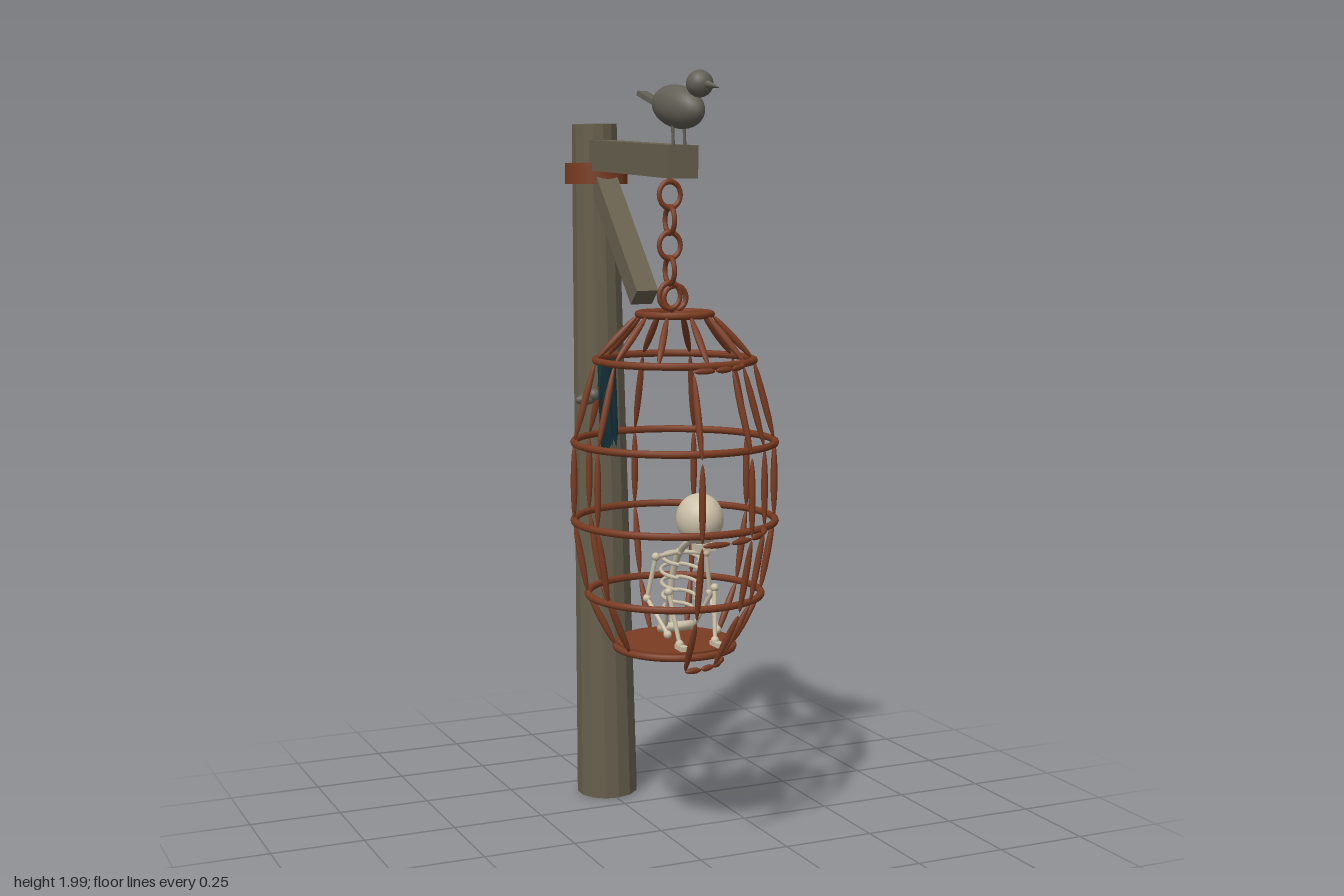
import * as THREE from 'three';

const mat = (name, color, extra = {}) => {
  const m = new THREE.MeshStandardMaterial({ color, ...extra });
  m.name = name;
  return m;
};
const V = (x, y, z) => new THREE.Vector3(x, y, z);
const UP = V(0, 1, 0);

export function createModel() {
  const wood = mat('weathered wood', 0x69614f, { flatShading: true });
  const rust = mat('rusty iron', 0x7a3c22);
  const strap = mat('rusty strap', 0x7a3c22, { side: THREE.DoubleSide });
  const cloth = mat('dark teal cloth', 0x1b3c47, { side: THREE.DoubleSide });
  const bone = mat('bone', 0xcbc0a8);
  const feather = mat('grey feathers', 0x625f55);

  const model = new THREE.Group();
  model.name = 'hangingCage';
  const group = (name, parent = model) => {
    const g = new THREE.Group();
    g.name = name;
    parent.add(g);
    return g;
  };
  const add = (parent, name, geo, material, pos = V(0, 0, 0)) => {
    const m = new THREE.Mesh(geo, material);
    m.name = name;
    m.position.copy(pos);
    parent.add(m);
    return m;
  };
  // Stretch a y-aligned geometry builder between two points
  const between = (parent, name, a, b, make, material) => {
    const d = b.clone().sub(a);
    const m = add(parent, name, make(d.length()), material, a.clone().add(b).multiplyScalar(0.5));
    m.quaternion.setFromUnitVectors(UP, d.normalize());
    return m;
  };
  const rod = (r0, r1, sides) => (len) => new THREE.CylinderGeometry(r1, r0, len, sides);
  const spindle = (r) => (len) => new THREE.SphereGeometry(1, 8, 8).scale(r, len * 0.48, r);
  const box = (w, d) => (len) => new THREE.BoxGeometry(w, len, d);

  // Leaning gallows post, arm and brace
  const gallows = group('gallows');
  between(gallows, 'post', V(0.005, 0.012, -0.39), V(-0.056, 1.89, -0.315), rod(0.086, 0.061, 14), wood);
  between(gallows, 'arm', V(-0.05, 1.782, 0.245), V(-0.05, 1.808, -0.31), box(0.08, 0.08), wood);
  between(gallows, 'brace', V(-0.045, 1.44, -0.005), V(-0.05, 1.75, -0.28), box(0.06, 0.055), wood);
  add(gallows, 'ironBand', new THREE.CylinderGeometry(0.085, 0.085, 0.056, 28, 1, true), strap, V(-0.048, 1.758, -0.322));

  // Chain of alternating links
  const chain = group('chain');
  for (let i = 0; i < 5; i++) {
    const link = add(chain, 'chainLink', new THREE.TorusGeometry(0.029, 0.0065, 8, 18), rust, V(-0.048, 1.703 - i * 0.0625, 0.16));
    link.scale.y = 1.12;
    if (i % 2) link.rotation.y = Math.PI / 2;
  }

  // Cage: hoops, floor, top loop and spindle bars
  const cage = group('cage');
  cage.position.set(0, 0, 0.085);
  const hoops = [[0.54, 0.153], [0.68, 0.225], [0.872, 0.26], [1.075, 0.259], [1.285, 0.203], [1.402, 0.093]];
  for (const [y, r] of hoops) {
    add(cage, 'hoop', new THREE.TorusGeometry(r, 0.0095, 8, 48).rotateX(Math.PI / 2), rust, V(0, y, 0));
  }
  add(cage, 'floor', new THREE.CylinderGeometry(0.152, 0.152, 0.022, 32), rust, V(0, 0.543, 0));
  add(cage, 'topLoop', new THREE.TorusGeometry(0.031, 0.0075, 8, 20), rust, V(0, 1.443, 0));
  add(cage, 'topCrossbar', new THREE.CylinderGeometry(0.006, 0.006, 0.18, 8).rotateX(Math.PI / 2), rust, V(0, 1.405, 0));
  const onHoop = (i, deg) => {
    const a = THREE.MathUtils.degToRad(deg);
    return V(hoops[i][1] * Math.cos(a), hoops[i][0], -hoops[i][1] * Math.sin(a));
  };
  for (let k = 0; k < 10; k++) {
    const deg = 90 + 36 * k;
    const doorway = deg > 230 && deg < 310;
    for (let i = doorway ? 4 : 0; i < 5; i++) {
      between(cage, 'bar', onHoop(i, deg), onHoop(i + 1, deg), spindle(0.0095), rust);
    }
  }

  // Door swung open on its hinge
  const hinge = onHoop(2, 306).setY(0);
  const door = group('door', cage);
  door.position.copy(hinge);
  door.rotation.y = THREE.MathUtils.degToRad(34);
  const doorPoint = (i, deg) => onHoop(i, deg).sub(hinge);
  for (const deg of [306, 270, 234]) {
    for (let i = 0; i < 4; i++) {
      between(door, 'doorBar', doorPoint(i, deg), doorPoint(i + 1, deg), spindle(0.009), rust);
    }
  }
  for (const i of [0, 2, 4]) {
    for (let s = 0; s < 4; s++) {
      between(door, 'doorRail', doorPoint(i, 306 - 18 * s), doorPoint(i, 288 - 18 * s), spindle(0.008), rust);
    }
  }

  // Torn cloth with rippled surface and ragged hem
  const sheet = new THREE.PlaneGeometry(1, 1, 16, 6);
  const p = sheet.attributes.position;
  for (let i = 0; i < p.count; i++) {
    const u = p.getX(i) + 0.5, v = 0.5 - p.getY(i);
    const hem = 0.2 + 0.018 * Math.sin(u * 19) + 0.014 * Math.sin(u * 43 + 1);
    const wave = 0.012 * Math.sin(u * 11 + v * 2);
    const sag = 0.012 * Math.sin(u * Math.PI);
    p.setXYZ(i, -0.225 + 0.14 * u - wave + 0.012 * v, 1.285 - sag - v * hem, 0.14 - 0.28 * u - wave * 0.5);
  }
  sheet.computeVertexNormals();
  add(model, 'tornCloth', sheet, cloth);

  // Skeleton slumped on the cage floor
  const skeleton = group('skeleton');
  const limb = (name, ...pts) => {
    for (let i = 0; i < pts.length; i++) {
      add(skeleton, name + 'Joint', new THREE.SphereGeometry(0.011, 10, 8), bone, pts[i]);
      if (i) between(skeleton, name, pts[i - 1], pts[i], rod(0.006, 0.006, 8), bone);
    }
  };
  add(skeleton, 'skull', new THREE.SphereGeometry(1, 24, 18).scale(0.06, 0.066, 0.066), bone, V(0.02, 0.888, 0.195));
  add(skeleton, 'jaw', new THREE.BoxGeometry(0.05, 0.018, 0.04), bone, V(0.022, 0.82, 0.215));
  const spine = new THREE.CatmullRomCurve3([V(0.01, 0.57, 0.06), V(0.01, 0.68, 0.04), V(0.015, 0.78, 0.08), V(0.02, 0.84, 0.17)]);
  add(skeleton, 'spine', new THREE.TubeGeometry(spine, 20, 0.009, 8), bone);
  for (let i = 0; i < 5; i++) {
    const rib = add(skeleton, 'rib', new THREE.TorusGeometry(0.052 - Math.abs(i - 3) * 0.004, 0.005, 6, 20, 5.2), bone, V(0.012, 0.635 + i * 0.034, 0.085 + i * 0.004));
    rib.rotation.set(Math.PI / 2 + 0.2, 0, Math.PI / 2 + 0.54);
  }
  add(skeleton, 'pelvis', new THREE.TorusGeometry(0.04, 0.012, 8, 18).rotateX(1.3), bone, V(0.01, 0.585, 0.075));
  for (const s of [-1, 1]) {
    const x = (d) => 0.012 + s * d;
    limb('collarbone', V(0.014, 0.785, 0.085), V(x(0.072), 0.78, 0.1));
    limb('arm', V(x(0.072), 0.78, 0.1), V(x(0.09), 0.67, 0.085), V(x(0.07), 0.59, 0.17));
    limb('leg', V(x(0.04), 0.585, 0.09), V(x(0.065), 0.7, 0.165), V(x(0.05), 0.57, 0.2));
    add(skeleton, 'foot', new THREE.BoxGeometry(0.02, 0.012, 0.045), bone, V(x(0.05), 0.563, 0.212));
  }

  // Perched bird, head toward the end of the arm
  const bird = group('bird');
  bird.position.set(-0.052, 1.915, 0.218);
  bird.rotation.y = 0.25;
  const body = add(bird, 'birdBody', new THREE.SphereGeometry(1, 20, 14).scale(0.044, 0.052, 0.09), feather);
  body.rotation.x = 0.2;
  add(bird, 'birdHead', new THREE.SphereGeometry(0.033, 18, 14), feather, V(0, 0.052, 0.082));
  between(bird, 'beak', V(0, 0.05, 0.105), V(0, 0.04, 0.153), rod(0.012, 0.001, 8), feather);
  between(bird, 'tail', V(0, 0.005, -0.065), V(0, 0.038, -0.145), box(0.03, 0.012), feather);
  for (const s of [-1, 1]) {
    between(bird, 'birdLeg', V(s * 0.018, -0.03, 0), V(s * 0.018, -0.125, 0.005), rod(0.004, 0.004, 6), feather);
  }

  // Small bird clinging behind the cloth
  const chick = group('smallBird');
  chick.position.set(-0.2, 1.18, -0.03);
  add(chick, 'smallBirdBody', new THREE.SphereGeometry(1, 12, 10).scale(0.028, 0.014, 0.014), feather);
  add(chick, 'smallBirdHead', new THREE.SphereGeometry(0.016, 12, 10), feather, V(0.022, 0.012, 0.004));

  return model;
}
